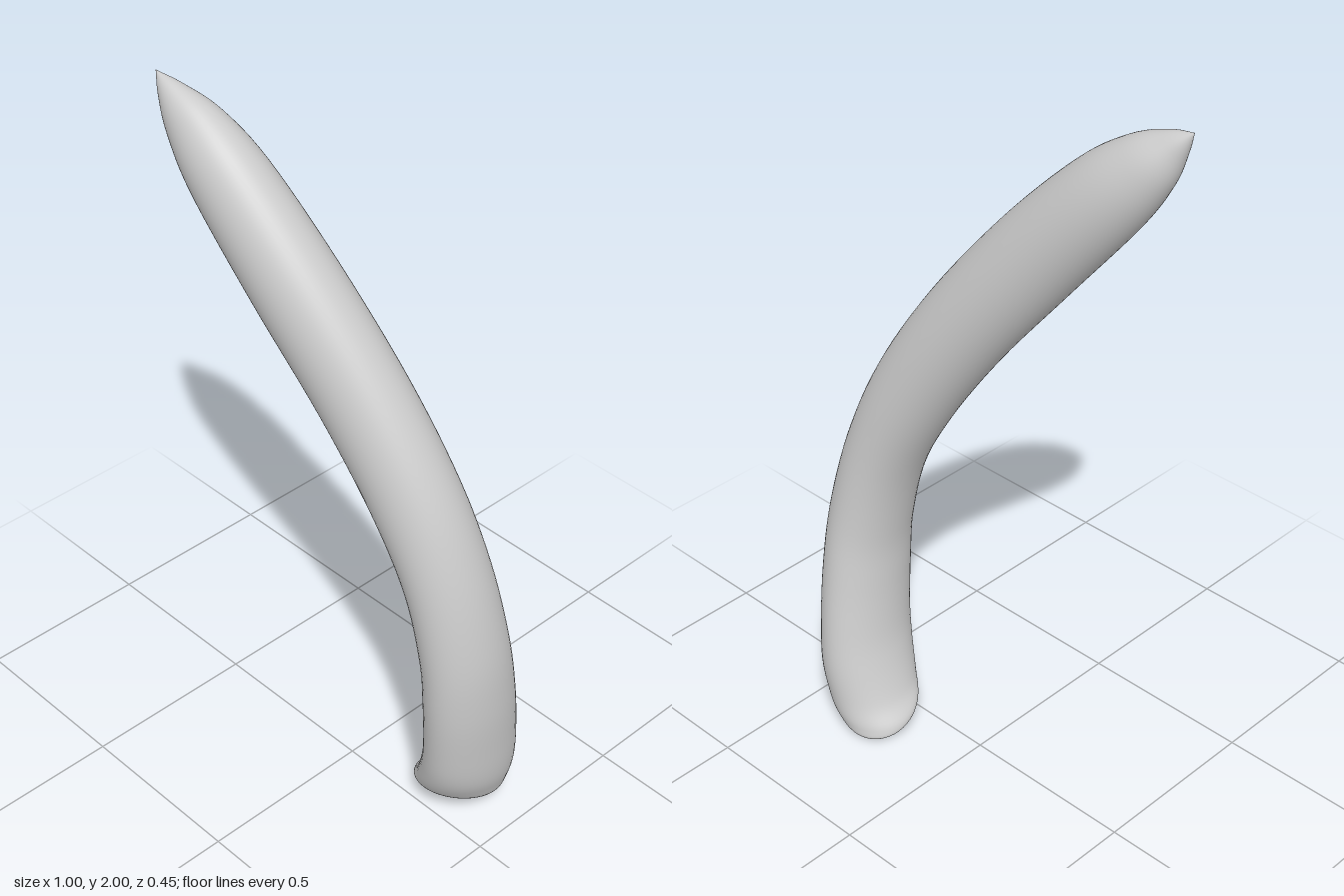
import * as THREE from 'three';

// Stations from base to tip: inner edge x,y | outer edge x,y | front z, back z | tilt of the section
const STATIONS = [
  [0.27, 0.008, 0.27, 0.008, -0.13, -0.13, 0],
  [0.20, 0.012, 0.36, 0.03, -0.05, -0.205, 0.02],
  [0.188, 0.04, 0.43, 0.075, 0.01, -0.22, 0.025],
  [0.225, 0.10, 0.458, 0.13, 0.042, -0.222, 0.02],
  [0.262, 0.20, 0.478, 0.20, 0.065, -0.22, 0.01],
  [0.285, 0.30, 0.49, 0.31, 0.08, -0.205, 0],
  [0.298, 0.45, 0.50, 0.48, 0.098, -0.178, 0],
  [0.295, 0.60, 0.49, 0.67, 0.108, -0.15, 0],
  [0.25, 0.80, 0.44, 0.90, 0.12, -0.122, 0],
  [0.15, 1.00, 0.35, 1.13, 0.14, -0.095, 0],
  [0, 1.23, 0.20, 1.38, 0.17, -0.06, 0],
  [-0.20, 1.49, 0, 1.64, 0.208, -0.015, 0],
  [-0.38, 1.72, -0.20, 1.85, 0.224, 0.03, 0],
  [-0.46, 1.85, -0.33, 1.945, 0.21, 0.075, 0],
  [-0.49, 1.94, -0.43, 1.985, 0.188, 0.125, 0],
  [-0.505, 2.0, -0.505, 2.0, 0.163, 0.163, 0],
];

// Smooth curve through three chosen columns of the stations
const curve = (a, b, c) => new THREE.CatmullRomCurve3(
  STATIONS.map((s) => new THREE.Vector3(s[a], s[b], s[c])), false, 'catmullrom', 0.5);

function hornGeometry(rows, sides) {
  const inner = curve(0, 1, 6), outer = curve(2, 3, 6), depth = curve(4, 5, 6);
  const positions = [], index = [];
  for (let i = 0; i <= rows; i++) {
    const t = i / rows;
    const p = inner.getPoint(t), q = outer.getPoint(t), d = depth.getPoint(t);
    for (let j = 0; j < sides; j++) {
      const angle = (j / sides) * Math.PI * 2;
      const c = Math.cos(angle), s = Math.sin(angle);
      positions.push(
        (p.x + q.x) / 2 + c * (q.x - p.x) / 2,
        (p.y + q.y) / 2 + c * (q.y - p.y) / 2 + s * d.z,
        (d.x + d.y) / 2 + s * (d.x - d.y) / 2,
      );
      if (i < rows) {
        const k = (j + 1) % sides;
        const a = i * sides + j, b = i * sides + k;
        index.push(a, a + sides, b, b, a + sides, b + sides);
      }
    }
  }
  const geometry = new THREE.BufferGeometry();
  geometry.setAttribute('position', new THREE.Float32BufferAttribute(positions, 3));
  geometry.setIndex(index);
  geometry.computeVertexNormals();
  return geometry;
}

export function createModel() {
  const group = new THREE.Group();
  group.name = 'curvedHorn';
  const material = new THREE.MeshStandardMaterial({ color: 0xcccccc, side: THREE.DoubleSide });
  // Tapered, curved body with a rounded base and a pointed tip
  const horn = new THREE.Mesh(hornGeometry(90, 48), material);
  horn.name = 'horn';
  group.add(horn);
  return group;
}
